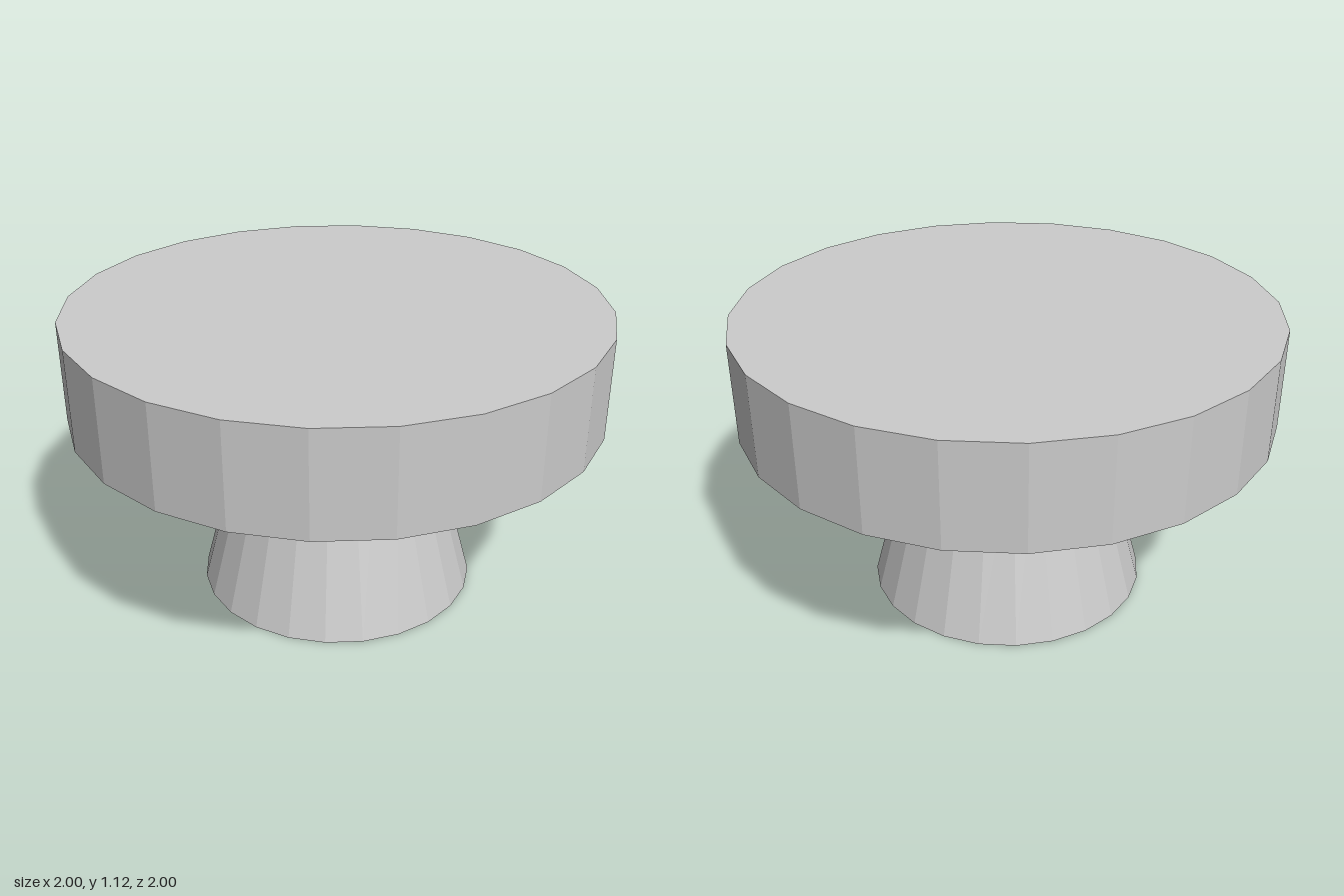
import * as THREE from 'three';

const SIDES = 24;

export function createModel() {
  const group = new THREE.Group();
  group.name = 'pedestalTable';
  const material = new THREE.MeshStandardMaterial({ color: 0xcccccc, flatShading: true });

  // Faceted round section standing between two heights
  function addRound(name, topRadius, bottomRadius, y0, y1) {
    const geometry = new THREE.CylinderGeometry(topRadius, bottomRadius, y1 - y0, SIDES);
    const mesh = new THREE.Mesh(geometry, material);
    mesh.name = name;
    mesh.position.y = (y0 + y1) / 2;
    group.add(mesh);
  }

  // Tapered pedestal
  addRound('pedestal', 0.333, 0.533, 0, 0.74);
  // Thick round top
  addRound('tableTop', 1, 1, 0.74, 1.12);

  return group;
}
